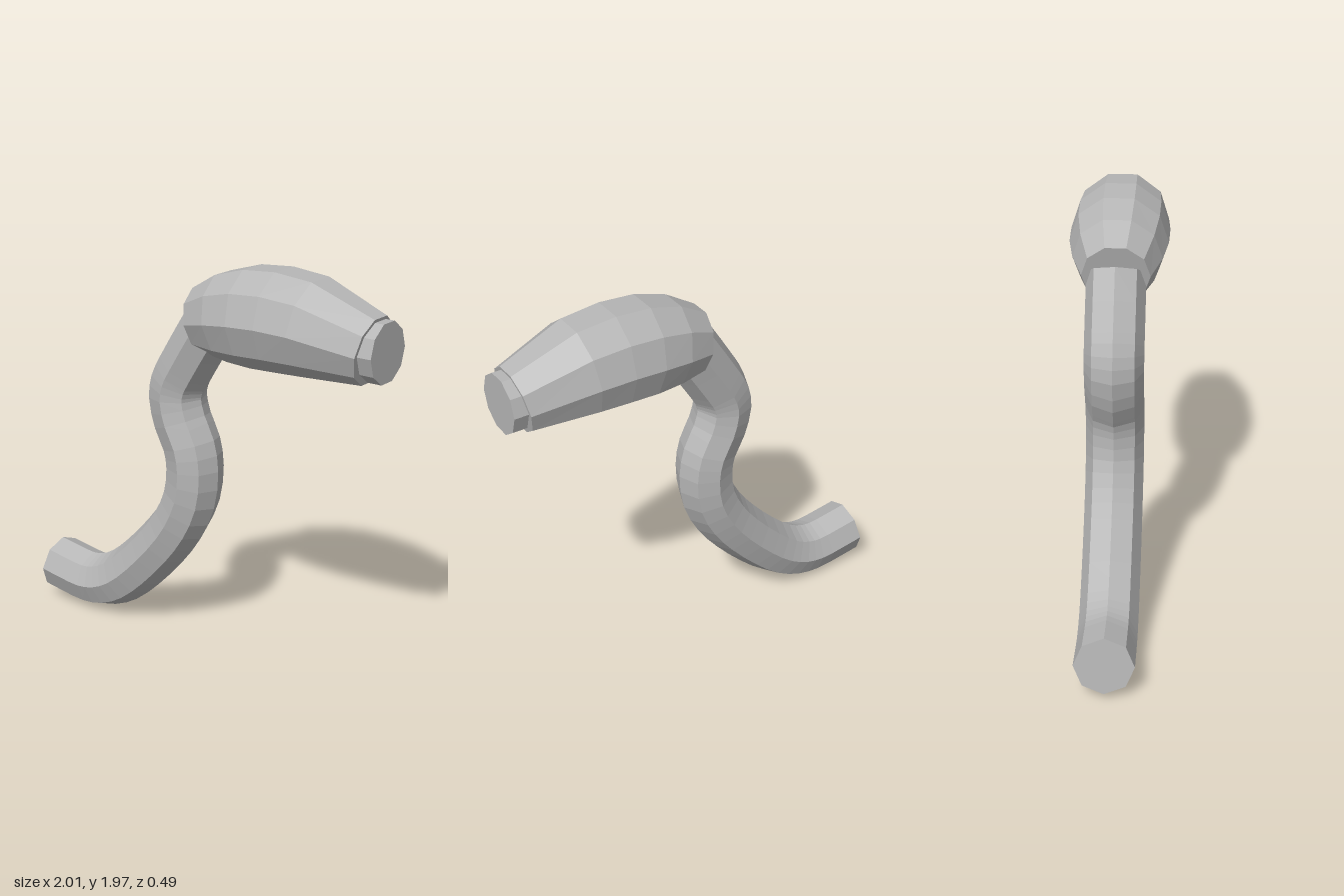
import * as THREE from 'three';

const grey = new THREE.MeshStandardMaterial({ color: 0xb6b6b6, flatShading: true });
grey.name = 'plain grey';

// Closed faceted loft along a curve in the xy plane; radiusAt(t) sets each ring.
function loft(points, steps, sides, phase, radiusAt) {
  const curve = new THREE.CatmullRomCurve3(points.map(([x, y]) => new THREE.Vector3(x, y, 0)));
  const pos = [];
  const index = [];
  for (let i = 0; i <= steps; i++) {
    const c = curve.getPoint(i / steps);
    const t = curve.getTangent(i / steps);
    const r = radiusAt(i);
    for (let j = 0; j < sides; j++) {
      const a = ((j + phase) / sides) * Math.PI * 2;
      const n = Math.cos(a) * r;
      pos.push(c.x - t.y * n, c.y + t.x * n, Math.sin(a) * r);
    }
  }
  // side walls
  for (let i = 0; i < steps; i++) {
    for (let j = 0; j < sides; j++) {
      const a = i * sides + j;
      const b = i * sides + ((j + 1) % sides);
      index.push(a, b, a + sides, b, b + sides, a + sides);
    }
  }
  // end caps
  const last = steps * sides;
  for (let j = 1; j < sides - 1; j++) {
    index.push(0, j + 1, j, last, last + j, last + j + 1);
  }
  const indexed = new THREE.BufferGeometry();
  indexed.setAttribute('position', new THREE.Float32BufferAttribute(pos, 3));
  indexed.setIndex(index);
  const geometry = indexed.toNonIndexed();
  geometry.computeVertexNormals();
  return geometry;
}

function addPart(group, name, geometry) {
  const mesh = new THREE.Mesh(geometry, grey);
  mesh.name = name;
  group.add(mesh);
}

export function createModel() {
  const model = new THREE.Group();
  model.name = 'bentHandle';

  // octagonal bent arm, vertex up
  const armPath = [
    [-0.985, 0.178], [-0.87, 0.161], [-0.74, 0.147], [-0.64, 0.163], [-0.53, 0.217],
    [-0.4, 0.327], [-0.25, 0.487], [-0.15, 0.622], [-0.08, 0.77], [-0.06, 0.925],
    [-0.08, 1.04], [-0.135, 1.15], [-0.165, 1.27], [-0.152, 1.35], [-0.11, 1.43], [0.048, 1.68],
  ];
  addPart(model, 'arm', loft(armPath, (armPath.length - 1) * 2, 8, 0, () => 0.142));

  // ten-sided bulging grip, flat side up
  const gripPath = [
    [0, 1.682], [0.145, 1.716], [0.295, 1.738], [0.45, 1.747], [0.617, 1.74], [0.93, 1.683],
  ];
  const gripRadii = [0.163, 0.215, 0.24, 0.243, 0.232, 0.163];
  addPart(model, 'grip', loft(gripPath, 5, 10, 0.5, (i) => gripRadii[i]));

  // short end knob
  addPart(model, 'endCap', loft([[0.93, 1.685], [1, 1.685]], 1, 10, 0.5, () => 0.143));

  return model;
}
